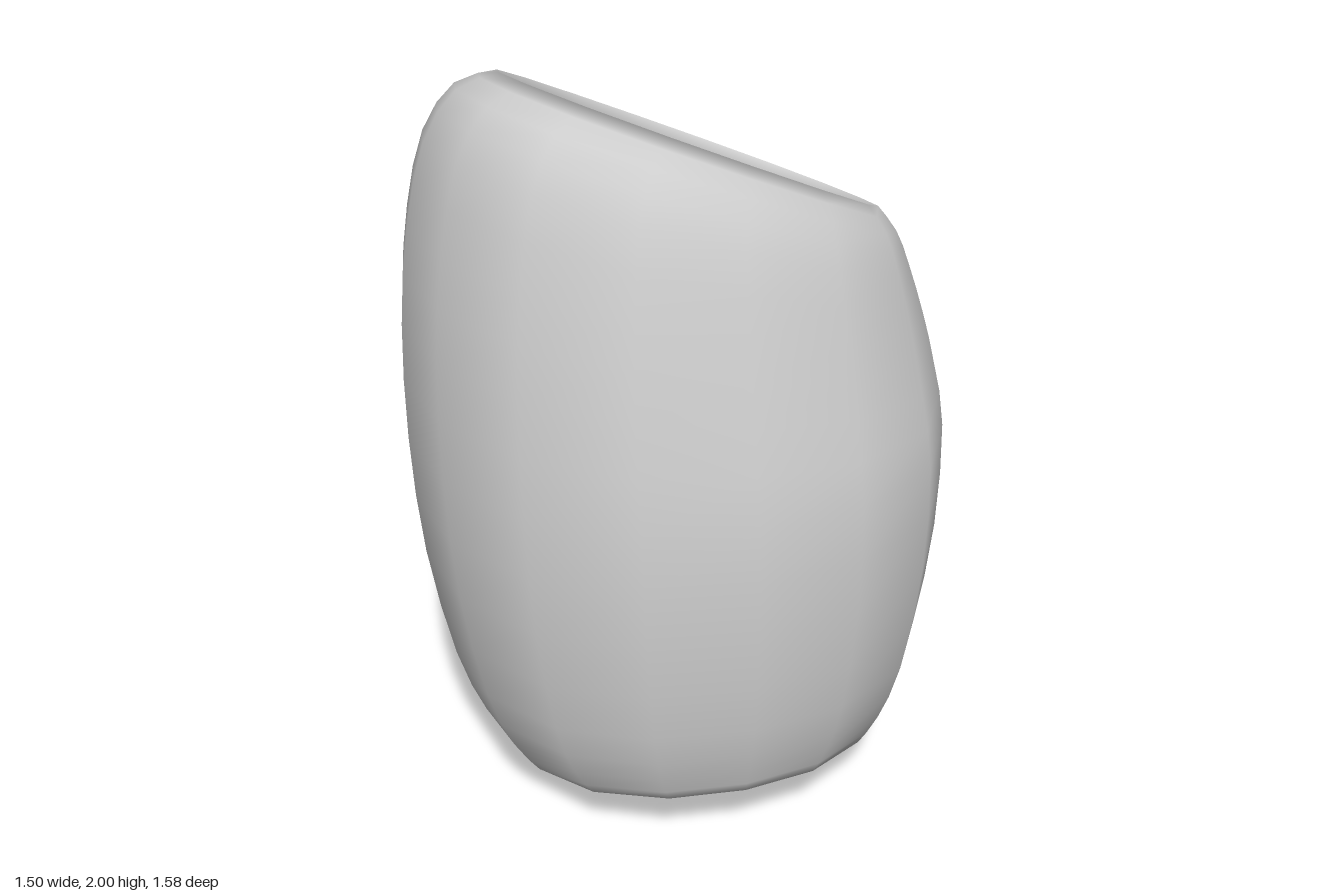
import * as THREE from 'three';

const SIDES = 16;

// Each ring is a tilted ellipse given by its four extremes:
// left-hand x,y / right-hand x,y / front z,y / back z,y
const OUTER = [
  [-0.53, 0.10, 0.53, 0.10, 0.71, 0.19, -0.35, 0.00],
  [-0.60, 0.20, 0.60, 0.20, 0.735, 0.27, -0.43, 0.13],
  [-0.67, 0.38, 0.67, 0.38, 0.77, 0.43, -0.54, 0.34],
  [-0.73, 0.70, 0.73, 0.70, 0.79, 0.72, -0.66, 0.69],
  [-0.75, 1.03, 0.75, 1.00, 0.775, 1.03, -0.74, 1.01],
  [-0.74, 1.35, 0.735, 1.16, 0.72, 1.28, -0.78, 1.22],
  [-0.705, 1.60, 0.71, 1.28, 0.665, 1.49, -0.79, 1.40],
  [-0.645, 1.82, 0.67, 1.41, 0.60, 1.69, -0.77, 1.55],
  [-0.55, 1.95, 0.64, 1.49, 0.52, 1.80, -0.70, 1.66],
  [-0.43, 1.985, 0.60, 1.55, 0.41, 1.845, -0.62, 1.70],
];
const TOP_EDGE = [-0.41, 1.89, 0.55, 1.49, 0.37, 1.75, -0.58, 1.62];
const BOTTOM_EDGE = [-0.47, 0.14, 0.47, 0.14, 0.65, 0.23, -0.29, 0.05];

// Adds a smooth in-between ring to every pair of rings
function refine(rings) {
  const last = rings.length - 1;
  return rings.flatMap((ring, i) => {
    if (i === last) return [ring];
    const before = rings[Math.max(i - 1, 0)];
    const next = rings[i + 1];
    const after = rings[Math.min(i + 2, last)];
    return [ring, ring.map((v, k) => (9 * (v + next[k]) - before[k] - after[k]) / 16)];
  });
}

// Shrinks a ring by the wall thickness
function inset([lx, ly, rx, ry, fz, fy, bz, by], t) {
  return [lx + t, ly, rx - t, ry, fz - t, fy, bz + t, by];
}

function ringPoints([lx, ly, rx, ry, fz, fy, bz, by]) {
  const points = [];
  for (let i = 0; i < SIDES; i++) {
    const a = (i / SIDES) * Math.PI * 2;
    // Slightly fuller than an ellipse on the diagonals
    const full = 1 + 0.035 * Math.sin(2 * a) ** 2;
    const c = Math.cos(a) * full, s = Math.sin(a) * full;
    points.push(
      (lx + rx) / 2 + ((rx - lx) / 2) * c,
      (ly + ry + fy + by) / 4 + ((ry - ly) / 2) * c + ((fy - by) / 2) * s,
      (fz + bz) / 2 + ((fz - bz) / 2) * s
    );
  }
  return points;
}

// Joins the rings into a closed loop: up the outside, down the inside
function loftLoop(rings) {
  const positions = rings.flatMap(ringPoints);
  const index = [];
  for (let r = 0; r < rings.length; r++) {
    const next = (r + 1) % rings.length;
    for (let i = 0; i < SIDES; i++) {
      const j = (i + 1) % SIDES;
      const a = r * SIDES + i, b = r * SIDES + j;
      const c = next * SIDES + i, d = next * SIDES + j;
      index.push(a, c, b, b, c, d);
    }
  }
  const geometry = new THREE.BufferGeometry();
  geometry.setAttribute('position', new THREE.Float32BufferAttribute(positions, 3));
  geometry.setIndex(index);
  geometry.computeVertexNormals();
  return geometry;
}

export function createModel() {
  const group = new THREE.Group();
  group.name = 'hollowBarrel';
  const grey = new THREE.MeshStandardMaterial({ color: 0xcccccc });
  grey.name = 'light grey';

  // Bulging wall, open at both slanted ends
  const outer = refine(OUTER);
  const inner = refine(OUTER.slice(1, 8)).reverse().map((ring) => inset(ring, 0.07));
  const shell = new THREE.Mesh(loftLoop([...outer, TOP_EDGE, ...inner, BOTTOM_EDGE]), grey);
  shell.name = 'barrelShell';
  group.add(shell);
  return group;
}
